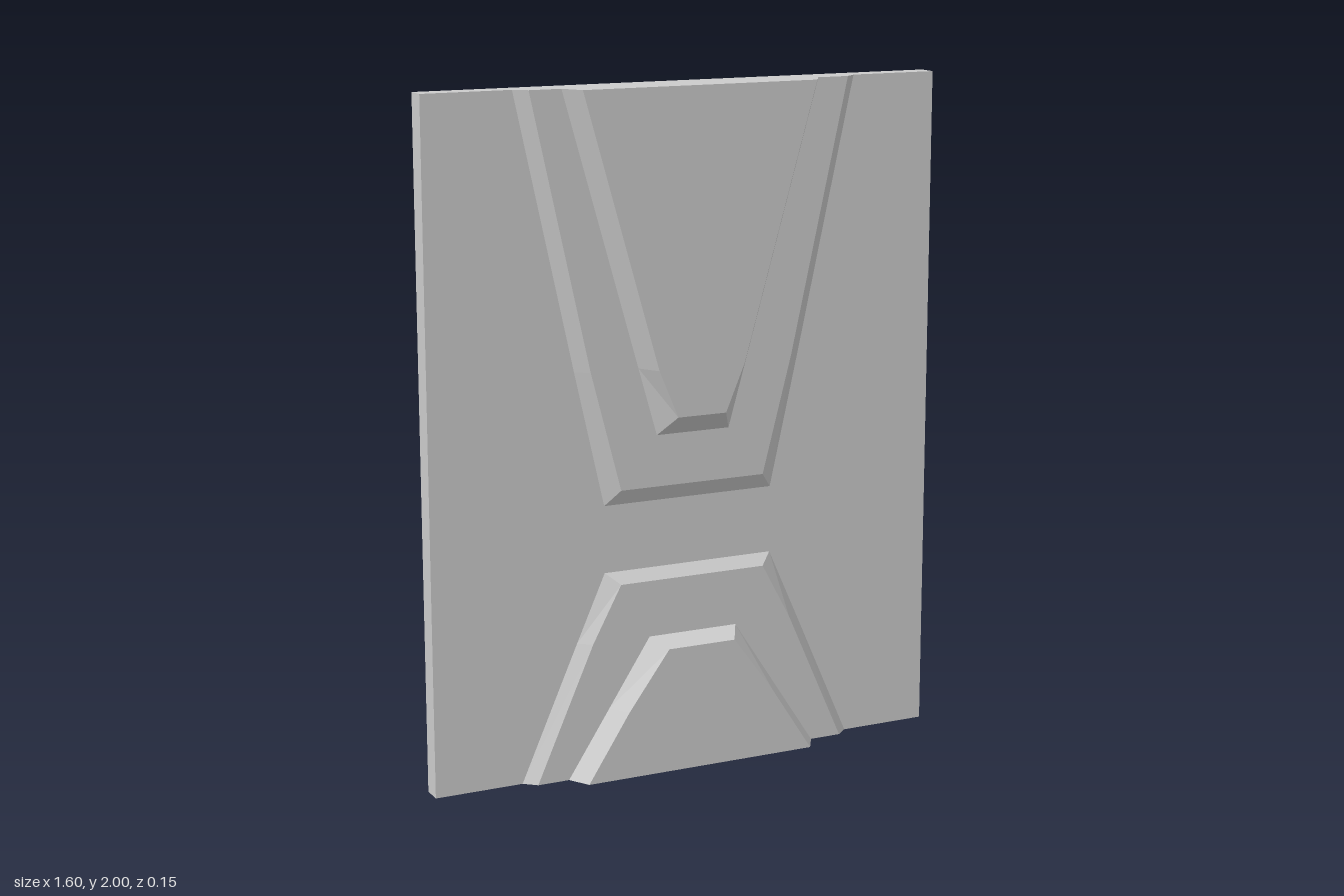
import * as THREE from 'three';

const BACK = -0.077, SLAB = -0.016, STEP = 0.015, FRONT = 0.077;
const material = new THREE.MeshStandardMaterial({ color: 0xcccccc, flatShading: true });

// Bevelled raised panel, symmetric in x. Each row: [base y, base half width, top y, top half width],
// running from the slab's edge to the panel's narrow end.
function raisedPanel(name, rows, z0, z1) {
  const pos = [];
  const flip = rows[0][0] < rows[rows.length - 1][0];
  const tri = (a, b, c) => pos.push(...a, ...(flip ? [...c, ...b] : [...b, ...c]));
  const quad = (a, b, c, d) => { tri(a, b, c); tri(a, c, d); };
  const base = (r, s) => [s * r[1], r[0], z0];
  const top = (r, s) => [s * r[3], r[2], z1];

  for (let i = 0; i < rows.length - 1; i++) {
    const p = rows[i], q = rows[i + 1];
    quad(top(p, -1), top(q, -1), top(q, 1), top(p, 1)); // face
    quad(base(p, -1), base(q, -1), top(q, -1), top(p, -1)); // side bevels
    quad(top(p, 1), top(q, 1), base(q, 1), base(p, 1));
  }
  const first = rows[0], last = rows[rows.length - 1];
  quad(top(last, -1), base(last, -1), base(last, 1), top(last, 1)); // end bevel
  quad(base(first, -1), top(first, -1), top(first, 1), base(first, 1)); // flush edge

  const geometry = new THREE.BufferGeometry();
  geometry.setAttribute('position', new THREE.Float32BufferAttribute(pos, 3));
  geometry.computeVertexNormals();
  const mesh = new THREE.Mesh(geometry, material);
  mesh.name = name;
  return mesh;
}

export function createModel() {
  const model = new THREE.Group();
  model.name = 'reliefPanel';

  // Flat backing slab
  const slab = new THREE.Mesh(new THREE.BoxGeometry(1.6, 2, SLAB - BACK), material);
  slab.position.set(0, 1, (SLAB + BACK) / 2);
  slab.name = 'slab';
  model.add(slab);

  // Two stepped tiers tapering down from the top edge
  model.add(raisedPanel('upperLowTier', [
    [2, 0.533, 2, 0.497], [1.2, 0.358, 1.2, 0.32], [0.8, 0.268, 0.848, 0.228],
  ], SLAB, STEP));
  model.add(raisedPanel('upperHighTier', [
    [2, 0.4, 2, 0.363], [1.2, 0.172, 1.2, 0.135], [1, 0.115, 1.06, 0.076],
  ], STEP, FRONT));

  // Two stepped tiers tapering up from the bottom edge
  model.add(raisedPanel('lowerLowTier', [
    [0, 0.533, 0, 0.497], [0.4, 0.357, 0.4, 0.32], [0.6, 0.268, 0.568, 0.23],
  ], SLAB, STEP));
  model.add(raisedPanel('lowerHighTier', [
    [0, 0.4, 0, 0.363], [0.2, 0.27, 0.2, 0.234], [0.4, 0.14, 0.374, 0.106],
  ], STEP, FRONT));

  return model;
}
